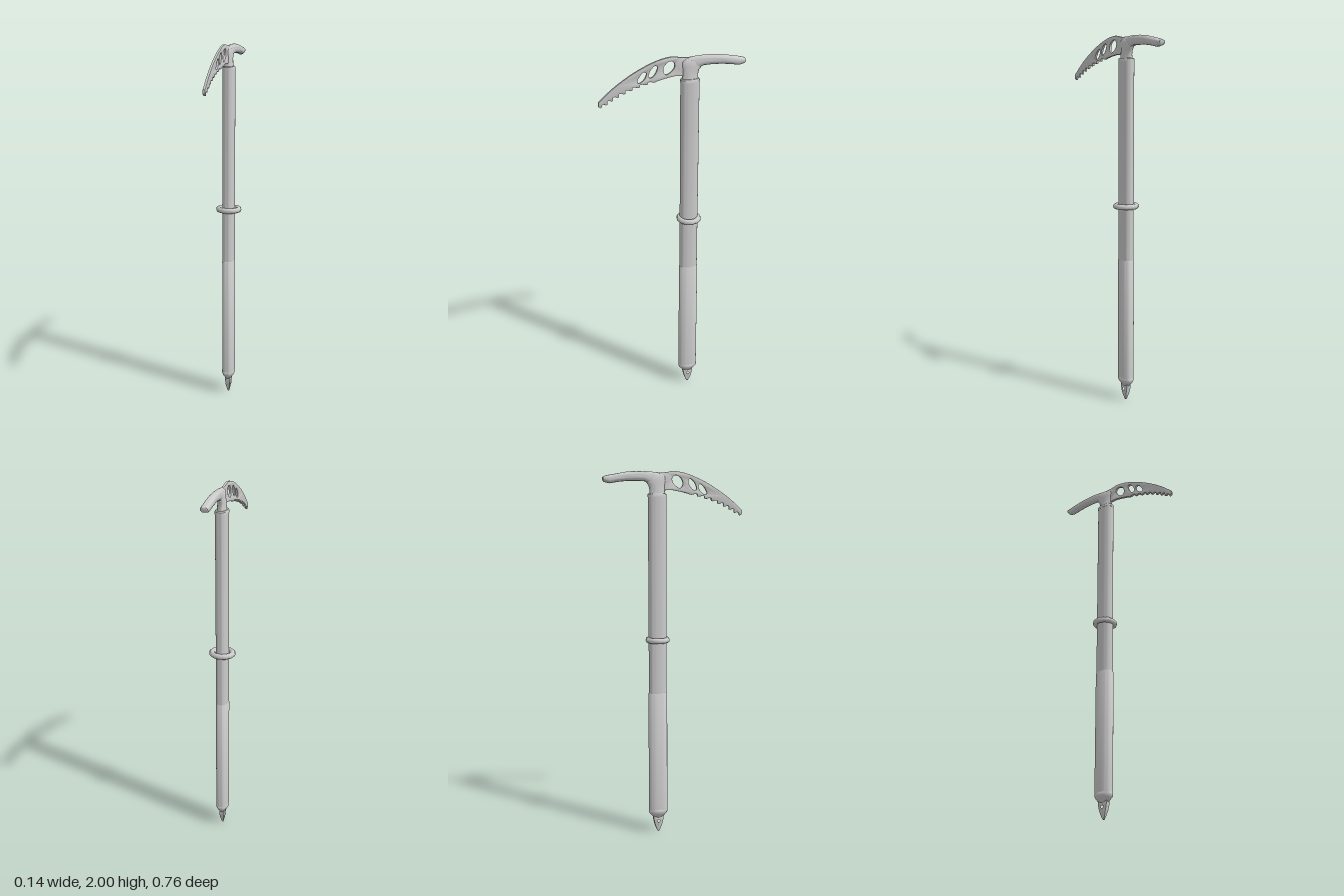
import * as THREE from 'three';
import { mergeVertices, toCreasedNormals } from 'three/addons/utils/BufferGeometryUtils.js';

const AXIS_Z = -0.09; // shaft centre line
const mat = new THREE.MeshStandardMaterial({ color: 0xcccccc });
const V = (list) => list.map(([a, b]) => new THREE.Vector2(a, b));

function add(group, name, geometry) {
  const mesh = new THREE.Mesh(geometry, mat);
  mesh.name = name;
  group.add(mesh);
  return mesh;
}

// Closed skin over oval rings; place(section, cos, sin) gives each ring point.
function loft(sections, place, crease = 0.7, n = 24, power = 1) {
  const pos = [], idx = [];
  const soft = (v) => Math.sign(v) * Math.abs(v) ** power;
  for (const s of sections) {
    for (let i = 0; i < n; i++) {
      const a = (i / n) * Math.PI * 2;
      pos.push(...place(s, soft(Math.cos(a)), soft(Math.sin(a))));
    }
  }
  for (let r = 0; r < sections.length - 1; r++) {
    for (let i = 0; i < n; i++) {
      const a = r * n + i, b = r * n + (i + 1) % n;
      idx.push(a, a + n, b, b, a + n, b + n);
    }
  }
  const last = (sections.length - 1) * n;
  for (let i = 1; i < n - 1; i++) {
    idx.push(0, i, i + 1, last, last + i + 1, last + i);
  }
  const g = new THREE.BufferGeometry();
  g.setAttribute('position', new THREE.Float32BufferAttribute(pos, 3));
  g.setIndex(idx);
  return toCreasedNormals(g, crease);
}

// Rings stacked upward: [y, half x, half z, centre z]
const upright = ([y, hx, hz, z = AXIS_Z], c, s) => [hx * c, y, z + hz * s];
// Rings stacked toward the back: [z, centre y, half x, half y]
const backward = ([z, y, hx, hy], c, s) => [hx * c, y + hy * s, z];

// Plate drawn in (z, y) and given a thickness along x
function plate(shape, thickness, bevel) {
  const depth = thickness - 2 * bevel;
  const g = new THREE.ExtrudeGeometry(shape, {
    depth, curveSegments: 10, bevelEnabled: true,
    bevelThickness: bevel, bevelSize: bevel, bevelOffset: -bevel, bevelSegments: 2,
  });
  g.translate(0, 0, -depth / 2).rotateY(-Math.PI / 2);
  g.deleteAttribute('uv');
  g.deleteAttribute('normal');
  return toCreasedNormals(mergeVertices(g), 0.6);
}

function pickShape() {
  const top = new THREE.SplineCurve(V([
    [-0.085, 1.988], [-0.04, 1.992], [0.008, 1.998], [0.087, 1.981],
    [0.193, 1.934], [0.3, 1.866], [0.382, 1.796],
  ])).getPoints(28);
  const pts = [...top, ...V([[0.384, 1.775], [0.37, 1.765]])];
  // Scalloped teeth along the underside
  const under = new THREE.QuadraticBezierCurve(...V([[0.362, 1.776], [0.26, 1.85], [0.085, 1.884]]));
  const teeth = 8;
  for (let i = 0; i < teeth; i++) {
    for (const [t, drop] of [[0, -0.006], [0.3, -0.003], [0.6, 0.008], [0.88, 0.01]]) {
      const u = (i + t) / teeth;
      const p = under.getPoint(u);
      pts.push(new THREE.Vector2(p.x - drop * 0.2, p.y - drop * (1 - 0.4 * u)));
    }
  }
  pts.push(...V([[0.077, 1.882], [0.034, 1.892], [-0.01, 1.9], [-0.05, 1.898], [-0.085, 1.9]]));
  const shape = new THREE.Shape(pts);
  // Lightening holes
  const holes = [
    [[0.05, 1.93], [0.04, 1.961], [0.01, 1.977], [-0.008, 1.963], [-0.003, 1.935], [0.035, 1.91]],
    [[0.125, 1.904], [0.115, 1.938], [0.09, 1.96], [0.08, 1.952], [0.09, 1.92], [0.112, 1.9]],
    [[0.183, 1.882], [0.172, 1.91], [0.147, 1.932], [0.136, 1.924], [0.147, 1.895], [0.17, 1.878]],
  ];
  for (const h of holes) {
    const loop = new THREE.CatmullRomCurve3(h.map(([a, b]) => new THREE.Vector3(a, b, 0)), true);
    shape.holes.push(new THREE.Path(loop.getPoints(20).slice(0, -1).map((p) => new THREE.Vector2(p.x, p.y))));
  }
  return shape;
}

function spikeShape() {
  const side = [[0.03, 0.105], [0.028, 0.075], [0.021, 0.045], [0.012, 0.018], [0.005, 0.003]];
  const mirrored = side.map(([z, y]) => [-z, y]).reverse();
  const outline = [...side, [0, 0], ...mirrored].map(([z, y]) => [z + AXIS_Z, y]);
  const shape = new THREE.Shape(V(outline));
  shape.holes.push(new THREE.Path().absarc(AXIS_Z, 0.066, 0.012, 0, Math.PI * 2, true));
  return shape;
}

export function createModel() {
  const model = new THREE.Group();
  model.name = 'iceAxe';

  // Oval shaft with a slightly thicker grip on its lower part
  add(model, 'shaft', loft([[0.78, 0.032, 0.049], [1.87, 0.032, 0.049]], upright, 0.7, 32, 0.85));
  add(model, 'grip', loft([
    [0.13, 0.034, 0.052], [0.8, 0.034, 0.052], [0.805, 0.032, 0.049],
  ], upright, 0.7, 32, 0.85));
  add(model, 'topCollar', loft([
    [1.862, 0.033, 0.0505], [1.877, 0.033, 0.0505], [1.882, 0.029, 0.046],
  ], upright, 0.7, 32, 0.85));

  // Sliding leash ring
  const ring = add(model, 'leashRing', new THREE.TorusGeometry(0.057, 0.015, 10, 12).rotateX(Math.PI / 2));
  ring.scale.z = 0.93;
  ring.position.set(0, 1.1, AXIS_Z);

  // Foot ferrule and flat pierced spike
  add(model, 'ferrule', loft([
    [0.078, 0.01, 0.02], [0.088, 0.015, 0.029], [0.1, 0.024, 0.039], [0.112, 0.032, 0.049],
    [0.122, 0.036, 0.054], [0.134, 0.036, 0.054], [0.139, 0.033, 0.051],
  ], upright, 0.9));
  const spike = plate(spikeShape(), 0.028, 0.004);
  const p = spike.attributes.position;
  for (let i = 0; i < p.count; i++) {
    p.setX(i, p.getX(i) * THREE.MathUtils.clamp(0.25 + p.getY(i) / 0.07, 0.25, 1));
  }
  add(model, 'spike', spike);

  // Head: stem, pick toward the front, adze toward the back
  const head = new THREE.Group();
  head.name = 'head';
  model.add(head);
  add(head, 'stem', loft([
    [1.875, 0.025, 0.043], [1.9, 0.021, 0.041], [1.925, 0.019, 0.045, -0.093],
    [1.945, 0.018, 0.055, -0.1], [1.965, 0.016, 0.058, -0.1], [1.985, 0.008, 0.045, -0.1],
  ], upright, 1.2));
  add(head, 'pick', plate(pickShape(), 0.013, 0.002));
  add(head, 'adze', loft([
    [-0.38, 1.956, 0.018, 0.009], [-0.374, 1.954, 0.02, 0.015], [-0.345, 1.954, 0.021, 0.022],
    [-0.3, 1.962, 0.021, 0.022], [-0.25, 1.969, 0.02, 0.024], [-0.2, 1.971, 0.019, 0.025],
    [-0.16, 1.97, 0.018, 0.026], [-0.125, 1.962, 0.017, 0.032], [-0.09, 1.953, 0.013, 0.038],
    [-0.055, 1.948, 0.007, 0.042],
  ], (s, c, n) => backward(s, -c, n), 1.0, 24, 0.85));

  return model;
}
